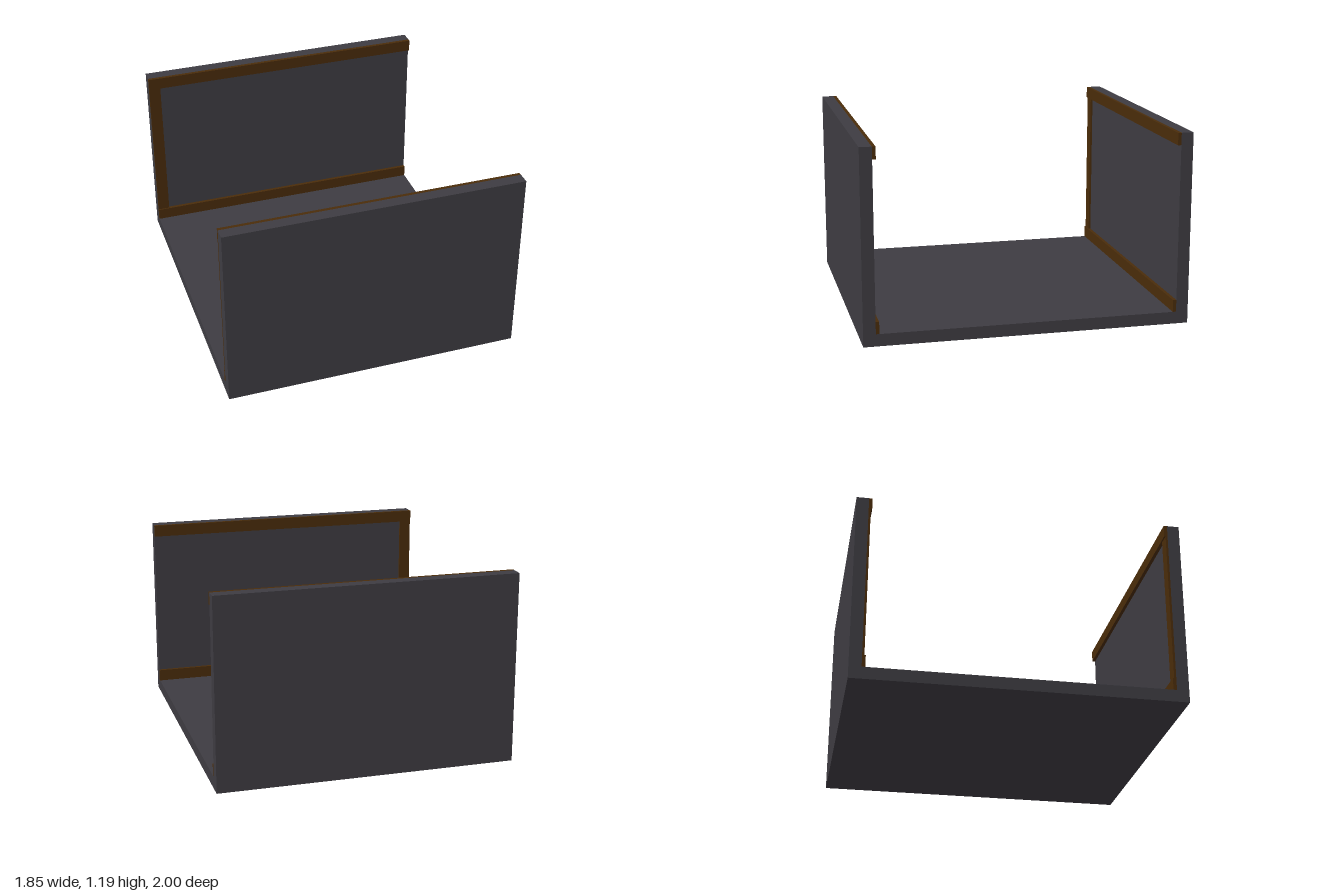
import * as THREE from 'three';

export function createModel() {
  const model = new THREE.Group();
  const grey = new THREE.MeshStandardMaterial({ color: 0x3e3c42 });
  grey.name = 'dark grey';
  const brown = new THREE.MeshStandardMaterial({ color: 0x4a2c0a });
  brown.name = 'dark brown';

  const width = 1.85, height = 1.187, wall = 0.075, trim = 0.075;
  const inner = 1 - wall;

  // U-shaped channel: floor and two side walls in one profile
  const profile = new THREE.Shape([
    [-1, 0], [1, 0], [1, height], [inner, height],
    [inner, wall], [-inner, wall], [-inner, height], [-1, height],
  ].map(([z, y]) => new THREE.Vector2(z, y)));
  const channelGeo = new THREE.ExtrudeGeometry(profile, { depth: width, bevelEnabled: false });
  channelGeo.translate(0, 0, -width / 2).rotateY(-Math.PI / 2);
  const channel = new THREE.Mesh(channelGeo, grey);
  channel.name = 'floorAndWalls';
  model.add(channel);

  function addTrim(name, parent, w, h, depth, x, y, side) {
    const mesh = new THREE.Mesh(new THREE.BoxGeometry(w, h, depth), brown);
    mesh.name = name;
    mesh.position.set(x, y, side * (inner - depth / 2));
    parent.add(mesh);
  }

  // Trim on the inner face of each wall: two rails and one end post
  for (const side of [1, -1]) {
    const frame = new THREE.Group();
    frame.name = side > 0 ? 'frontWallTrim' : 'backWallTrim';
    addTrim('topRail', frame, width, trim, 0.021, 0, height - trim / 2, side);
    addTrim('bottomRail', frame, width, trim, 0.021, 0, wall + trim / 2, side);
    const postHeight = height - wall - 2 * trim;
    addTrim('endPost', frame, trim, postHeight, 0.013,
      -width / 2 + trim / 2, wall + trim + postHeight / 2, side);
    model.add(frame);
  }

  return model;
}
